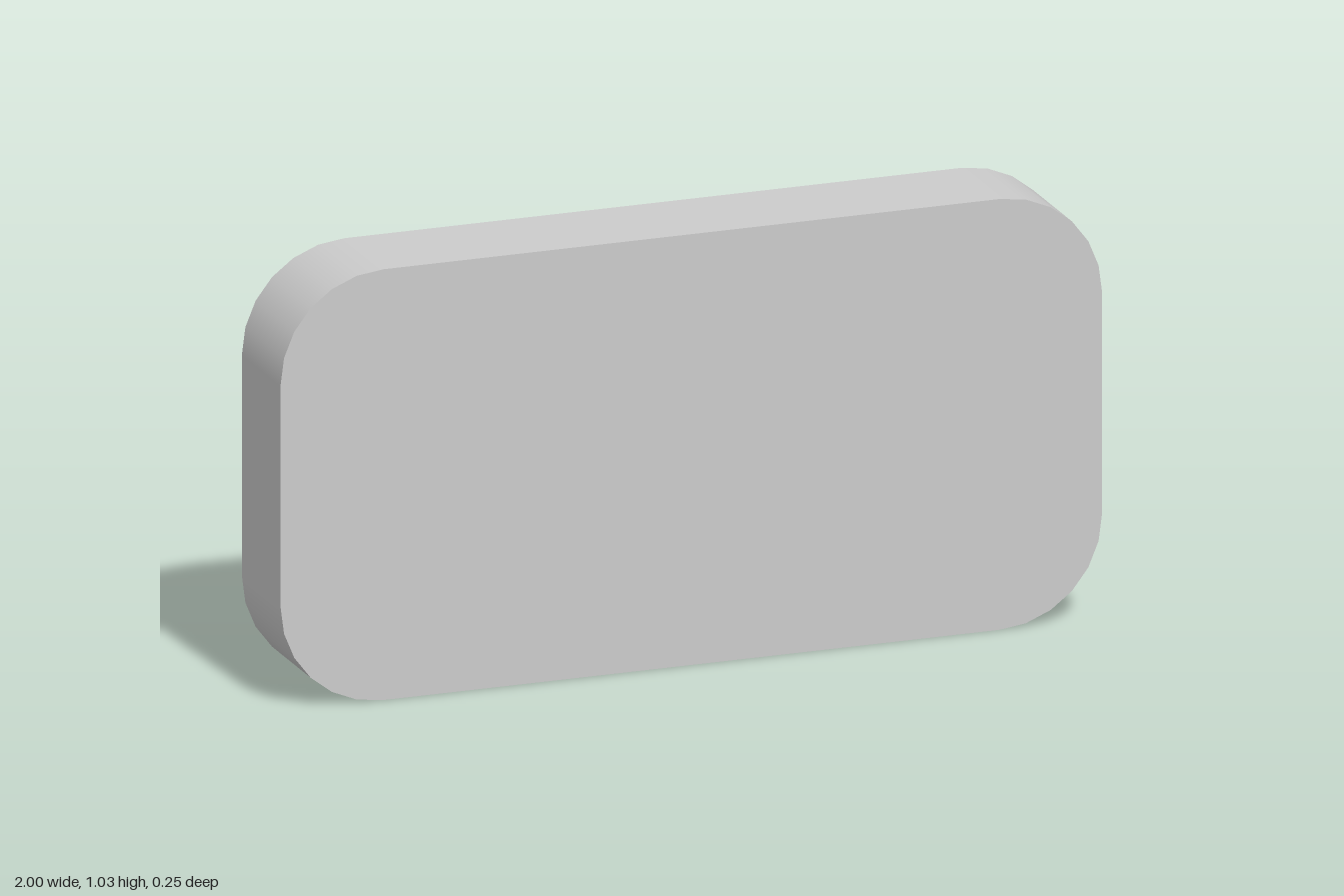
import * as THREE from 'three';
import { mergeGeometries } from 'three/addons/utils/BufferGeometryUtils.js';

const W = 2, H = 1.03, D = 0.25;   // outer size
const RIM = 0.095, RECESS = 0.09;  // rim width, depth of the back recess
const SEG = 6;                     // segments per rounded corner

// Counter-clockwise rounded rectangle, each point with its outward direction
function outline(w, h, r) {
  const loop = [];
  for (let c = 0; c < 4; c++) {
    const cx = (w / 2 - r) * (c === 0 || c === 3 ? 1 : -1);
    const cy = (h / 2 - r) * (c < 2 ? 1 : -1);
    for (let i = 0; i <= SEG; i++) {
      const a = (c + i / SEG) * Math.PI / 2;
      const n = new THREE.Vector2(Math.cos(a), Math.sin(a));
      loop.push({ p: new THREE.Vector2(cx + r * n.x, cy + r * n.y), n });
    }
  }
  return loop;
}

// Smooth wall along an outline between two depths; inward = faces the middle
function wall(loop, z0, z1, inward) {
  const s = inward ? -1 : 1, pos = [], nor = [], uv = [], idx = [];
  loop.forEach(({ p, n }, i) => {
    for (const z of [z0, z1]) {
      pos.push(p.x, p.y, z);
      nor.push(n.x * s, n.y * s, 0);
      uv.push(i / loop.length, z);
    }
    const a = i * 2, b = ((i + 1) % loop.length) * 2;
    if (inward) idx.push(a, a + 1, b, b, a + 1, b + 1);
    else idx.push(a, b, a + 1, b, b + 1, a + 1);
  });
  const g = new THREE.BufferGeometry();
  g.setAttribute('position', new THREE.Float32BufferAttribute(pos, 3));
  g.setAttribute('normal', new THREE.Float32BufferAttribute(nor, 3));
  g.setAttribute('uv', new THREE.Float32BufferAttribute(uv, 2));
  g.setIndex(idx);
  return g;
}

// Flat face at depth z, optionally with a hole, facing front or back
function face(loop, z, back, hole) {
  const shape = new THREE.Shape(loop.map(v => v.p));
  if (hole) shape.holes.push(new THREE.Path(hole.map(v => v.p)));
  const g = new THREE.ShapeGeometry(shape);
  if (back) g.rotateY(Math.PI); // the outlines are symmetric
  return g.translate(0, 0, z);
}

export function createModel() {
  const model = new THREE.Group();
  model.name = 'recessedPanel';

  const outer = outline(W, H, 0.25);
  const inner = outline(W - 2 * RIM, H - 2 * RIM, 0.2);
  const back = -D / 2, front = D / 2, floor = back + RECESS;

  // Grey shell: front face, outer wall, back rim and recess wall
  const shell = new THREE.Mesh(
    mergeGeometries([
      face(outer, front, false),
      wall(outer, back, front, false),
      face(outer, back, true, inner),
      wall(inner, back, floor, true),
    ]),
    new THREE.MeshStandardMaterial({ color: 0xcccccc })
  );
  shell.name = 'shell';

  // Coloured floor of the back recess
  const panel = new THREE.Mesh(
    face(inner, floor, true),
    new THREE.MeshStandardMaterial({ color: 0xff5210 })
  );
  panel.name = 'backPanel';

  model.add(shell, panel);
  for (const part of model.children) part.position.y = H / 2;
  return model;
}
